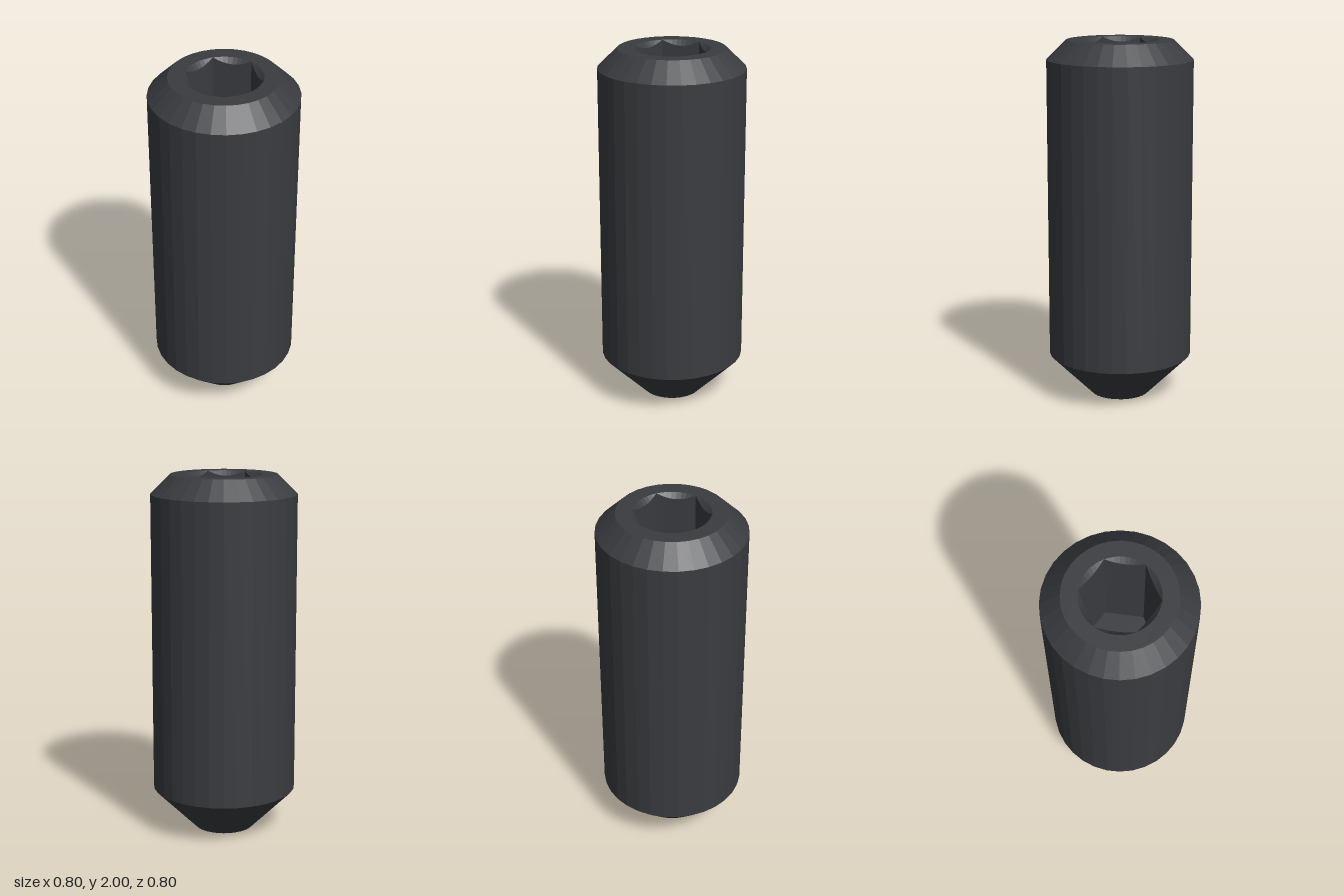
import * as THREE from 'three';

const SIDES = 32;          // facets around the body
const TOP = 2;             // height of the flat end
const RIM = 0.293;         // outer radius of the flat end
const SOCKET = 0.207;      // corner radius of the hex socket
const FLOOR = TOP - 0.68;  // socket floor height

const circle = (r, n) => Array.from({ length: n }, (_, i) => {
  const a = (i / n) * Math.PI * 2;
  return new THREE.Vector2(r * Math.cos(a), r * Math.sin(a));
});

// Hexagon radius at an angle, with corners on the x axis
function hexRadius(a) {
  const sector = Math.PI / 3;
  const local = (a % sector) - sector / 2;
  return SOCKET * Math.cos(sector / 2) / Math.cos(local);
}

// Conical lead-in, scalloped hex walls and flat floor, facing inward
function socketGeometry(n) {
  const rings = [
    () => [SOCKET, TOP],
    a => [hexRadius(a), TOP - (SOCKET - hexRadius(a))],
    a => [hexRadius(a), FLOOR],
    () => [0, FLOOR],
  ];
  const positions = [], index = [];
  rings.forEach((ring, i) => {
    for (let j = 0; j < n; j++) {
      const a = (j / n) * Math.PI * 2;
      const [r, y] = ring(a);
      positions.push(r * Math.cos(a), y, -r * Math.sin(a));
      if (i === rings.length - 1) continue;
      const p = i * n + j, q = i * n + (j + 1) % n;
      index.push(p, q, p + n, q, q + n, p + n);
    }
  });
  const geometry = new THREE.BufferGeometry();
  geometry.setAttribute('position', new THREE.Float32BufferAttribute(positions, 3));
  geometry.setIndex(index);
  const flat = geometry.toNonIndexed();
  flat.computeVertexNormals();
  return flat;
}

export function createModel() {
  const group = new THREE.Group();
  group.name = 'setScrew';
  const material = new THREE.MeshStandardMaterial({ color: 0x3a3c40, flatShading: true });
  const add = (name, geometry) => {
    const mesh = new THREE.Mesh(geometry, material);
    mesh.name = name;
    group.add(mesh);
  };

  // Hollow cup point, tapered tip, shank and top chamfer
  const profile = [[0, 0.096], [0.165, 0], [0.4, 0.235], [0.4, 1.895], [RIM, TOP]]
    .map(([x, y]) => new THREE.Vector2(x, y));
  const body = new THREE.LatheGeometry(profile, SIDES).toNonIndexed();
  body.computeVertexNormals();
  add('body', body);

  // Flat end around the socket
  const face = new THREE.Shape(circle(RIM, SIDES));
  face.holes.push(new THREE.Path(circle(SOCKET, 48)));
  add('endFace', new THREE.ShapeGeometry(face).rotateX(-Math.PI / 2).translate(0, TOP, 0));

  add('hexSocket', socketGeometry(48));
  return group;
}
